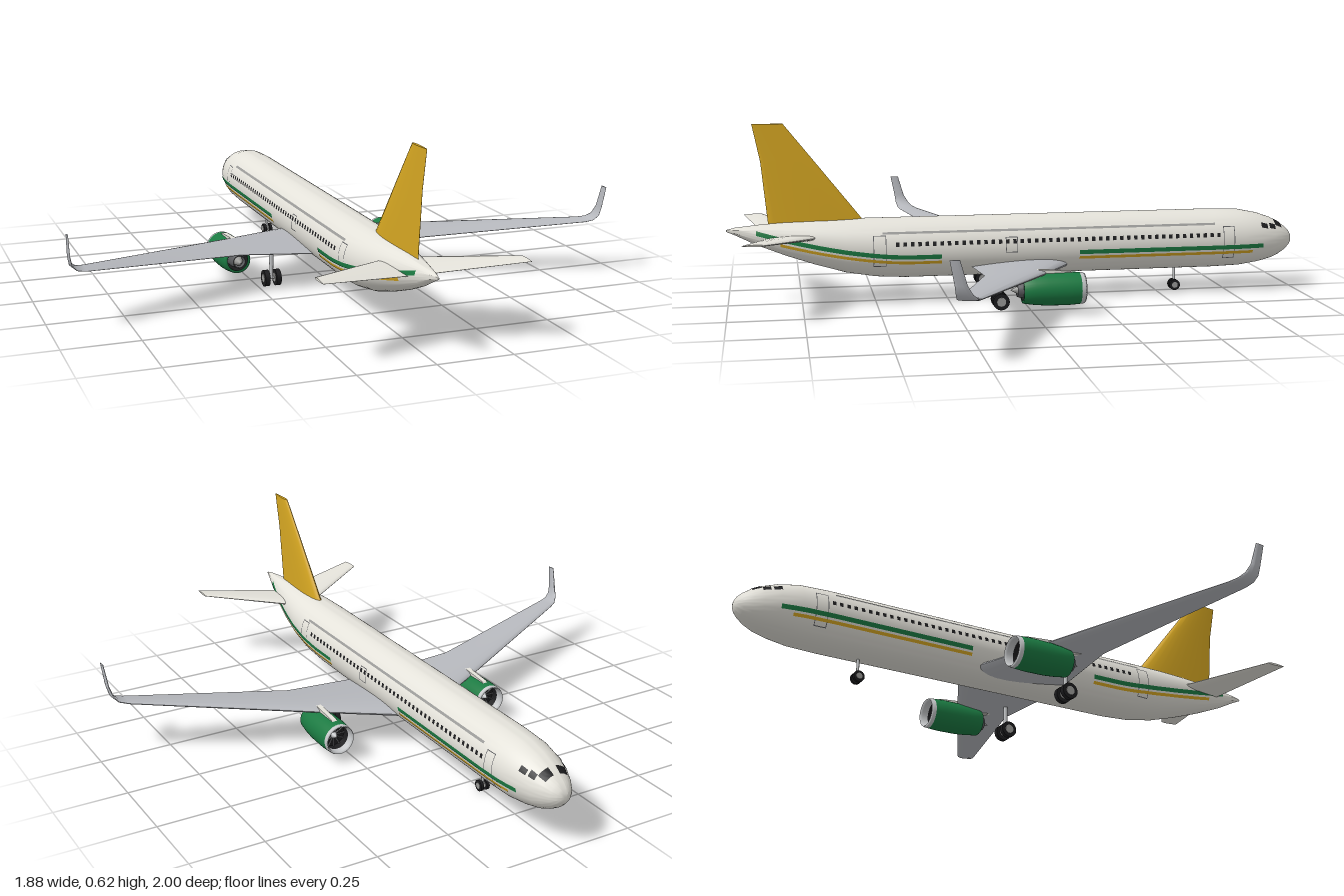
import * as THREE from 'three';
import { toCreasedNormals } from 'three/addons/utils/BufferGeometryUtils.js';

const paint = (name, color) => {
  const m = new THREE.MeshStandardMaterial({ color });
  m.name = name;
  return m;
};

// Fuselage stations: z, half width, top y, bottom y (nose at -z)
const STATIONS = [
  [-1, 0.002, 0.178, 0.174], [-0.997, 0.015, 0.191, 0.162], [-0.99, 0.028, 0.204, 0.15],
  [-0.975, 0.043, 0.219, 0.135], [-0.95, 0.059, 0.237, 0.119], [-0.92, 0.073, 0.253, 0.106],
  [-0.87, 0.088, 0.271, 0.094], [-0.8, 0.099, 0.285, 0.084], [-0.7, 0.102, 0.289, 0.081],
  [0.4, 0.102, 0.289, 0.081], [0.5, 0.1, 0.289, 0.087], [0.6, 0.091, 0.289, 0.104],
  [0.7, 0.075, 0.287, 0.133], [0.8, 0.054, 0.283, 0.167], [0.9, 0.029, 0.275, 0.207],
  [0.97, 0.01, 0.268, 0.242], [1, 0.002, 0.261, 0.255],
];

function station(z) {
  let i = 0;
  while (i < STATIONS.length - 2 && STATIONS[i + 1][0] < z) i++;
  const a = STATIONS[i], b = STATIONS[i + 1], t = (z - a[0]) / (b[0] - a[0]);
  const [rx, top, low] = [1, 2, 3].map(k => a[k] + (b[k] - a[k]) * t);
  return { rx, cy: (top + low) / 2, ry: (top - low) / 2 };
}

const skinPoint = (z, angle, lift = 0) => {
  const f = station(z);
  return [(f.rx + lift) * Math.cos(angle), f.cy + (f.ry + lift) * Math.sin(angle), z];
};

// Skin through rows of points; closed rows get end caps
function loft(rows, closed = true) {
  const n = rows[0].length, index = [];
  for (let i = 0; i < rows.length - 1; i++) {
    for (let j = 0; j < (closed ? n : n - 1); j++) {
      const a = i * n + j, b = i * n + (j + 1) % n;
      index.push(a, b, a + n, b, b + n, a + n);
    }
  }
  const last = (rows.length - 1) * n;
  if (closed) for (let j = 1; j < n - 1; j++) index.push(0, j + 1, j, last, last + j, last + j + 1);
  const g = new THREE.BufferGeometry();
  g.setAttribute('position', new THREE.Float32BufferAttribute(rows.flat(2), 3));
  g.setIndex(index);
  return toCreasedNormals(g, 0.9);
}

// Airfoil loop: leading edge, upper side, trailing edge, lower side
function airfoil([x, y, lead, trail, thick, tilt = 0], side = 1) {
  const pts = [], n = 12;
  for (let k = 0; k < 2 * n; k++) {
    const u = (1 - Math.cos(Math.PI * k / n)) / 2;
    const h = (k <= n ? 1 : -1) * thick *
      (5 * (0.2969 * Math.sqrt(u) - 0.126 * u - 0.3516 * u * u + 0.2843 * u ** 3 - 0.1036 * u ** 4) + 0.04 * u);
    pts.push([side * (x - Math.sin(tilt) * h), y + Math.cos(tilt) * h, lead + (trail - lead) * u]);
  }
  return side < 0 ? pts.reverse() : pts;
}

export function createModel() {
  const white = paint('body white', 0xe4e2da), grey = paint('wing grey', 0xb6b8bd);
  const green = paint('livery green', 0x1b7a42), gold = paint('livery gold', 0xd6a722);
  const black = paint('black', 0x1c1c1e), silver = paint('silver', 0xc4c6c8);
  const trim = paint('trim grey', 0x9a9a98), metal = paint('dark metal', 0x5a5b5e);
  const model = new THREE.Group();
  model.name = 'airliner';

  const add = (parent, name, geometry, material, x = 0, y = 0, z = 0) => {
    const m = new THREE.Mesh(geometry, material);
    m.name = name;
    m.position.set(x, y, z);
    parent.add(m);
    return m;
  };
  const lathe = pts => new THREE.LatheGeometry(pts.map(p => new THREE.Vector2(...p)), 32).rotateX(Math.PI / 2);

  // Fuselage
  add(model, 'fuselage', loft(STATIONS.map(([z]) =>
    Array.from({ length: 64 }, (_, j) => skinPoint(z, j / 32 * Math.PI)))), white);

  // Thin painted patch following the fuselage skin, bounded by two angle rules
  const patch = (name, mat, side, z0, z1, low, high, nz = 1, na = 3) => {
    const rows = [];
    for (let i = 0; i <= nz; i++) {
      const z = z0 + (z1 - z0) * i / nz, row = [];
      for (let j = 0; j <= na; j++) {
        const p = skinPoint(z, low(z) + (high(z) - low(z)) * j / na, 0.0015);
        row.push([side * p[0], p[1], p[2]]);
      }
      rows.push(side < 0 ? row.reverse() : row);
    }
    add(model, name, loft(rows, false), mat);
  };
  const atY = rule => z => {
    const f = station(z), y = typeof rule === 'number' ? rule : rule(z);
    return Math.asin(THREE.MathUtils.clamp((y - f.cy) / f.ry, -1, 1));
  };
  const deg = d => () => d * Math.PI / 180;
  const sweep = y => z => y + 0.085 * Math.max(0, (z - 0.38) / 0.52) ** 1.6;
  const outline = (side, z0, z1, y0, y1) => {
    const w = 0.0025;
    for (const z of [z0, z1 - w]) patch('doorEdge', metal, side, z, z + w, atY(y0), atY(y1), 1, 6);
    for (const y of [y0, y1 - w]) patch('doorEdge', metal, side, z0, z1, atY(y), atY(y + w), 1, 1);
  };

  for (const s of [1, -1]) {
    // Livery stripes
    patch('frontGreenStripe', green, s, -0.87, -0.2, atY(0.158), atY(0.173), 16);
    patch('frontGoldStripe', gold, s, -0.83, -0.2, atY(0.141), atY(0.151), 16);
    patch('rearGreenStripe', green, s, 0.28, 0.9, atY(sweep(0.158)), atY(sweep(0.173)), 40);
    patch('rearGoldStripe', gold, s, 0.28, 0.82, atY(sweep(0.141)), atY(sweep(0.151)), 40);
    patch('upperLine', trim, s, -0.69, 0.48, atY(0.243), atY(0.25), 20);

    // Cabin windows and doors
    for (let i = 0; i < 46; i++) {
      const z = -0.7 + i * 1.13 / 45;
      patch('cabinWindow', black, s, z - 0.006, z + 0.006, atY(0.203), atY(0.217), 1, 2);
    }
    outline(s, -0.76, -0.718, 0.125, 0.238);
    outline(s, 0.468, 0.512, 0.135, 0.24);
    outline(s, 0.018, 0.06, 0.172, 0.225);

    // Cockpit windows
    patch('windscreen', black, s, -0.953, -0.926, deg(46), deg(79), 4, 6);
    patch('cockpitWindow', black, s, -0.924, -0.9, deg(32), deg(48), 4, 4);
    patch('cockpitWindow', black, s, -0.892, -0.866, deg(30), deg(43), 4, 4);

    // Wing with upturned tip: x, y, leading z, trailing z, thickness, tilt
    add(model, 'wing', loft([
      [0.05, 0.119, -0.175, 0.176, 0.042], [0.33, 0.139, -0.03, 0.17, 0.026, 0.05],
      [0.88, 0.184, 0.26, 0.332, 0.011, 0.1], [0.908, 0.19, 0.276, 0.338, 0.01, 0.45],
      [0.925, 0.206, 0.293, 0.343, 0.009, 0.95], [0.932, 0.235, 0.31, 0.347, 0.008, 1.4],
      [0.938, 0.31, 0.332, 0.362, 0.005, 1.5],
    ].map(r => airfoil(r, s))), grey);

    // Tailplane
    add(model, 'tailplane', loft([
      [0.01, 0.229, 0.665, 0.86, 0.022], [0.33, 0.261, 0.875, 0.945, 0.007],
    ].map(r => airfoil(r, s))), white);

    // Engine
    const engine = new THREE.Group();
    engine.name = 'engine';
    engine.position.set(s * 0.305, 0.083, 0);
    model.add(engine);
    add(engine, 'cowling', lathe([[0.053, -0.152], [0.0555, -0.11], [0.0545, -0.04], [0.051, 0],
      [0.045, 0.04], [0.036, 0.04]]), green);
    add(engine, 'intakeLip', lathe([[0.043, -0.14], [0.045, -0.16], [0.049, -0.169],
      [0.052, -0.163], [0.053, -0.152]]), silver);
    add(engine, 'duct', lathe([[0.036, 0.04], [0.038, 0], [0.043, -0.14]]), black);
    add(engine, 'fanDisc', new THREE.CylinderGeometry(0.042, 0.042, 0.006, 32).rotateX(Math.PI / 2), black, 0, 0, -0.11);
    for (let i = 0; i < 12; i++) {
      const blade = new THREE.BoxGeometry(0.005, 0.03, 0.004).rotateY(0.5)
        .translate(0, 0.026, -0.118).rotateZ(i * Math.PI / 6);
      add(engine, 'fanBlade', blade, metal);
    }
    add(engine, 'spinner', new THREE.ConeGeometry(0.014, 0.03, 24).rotateX(-Math.PI / 2), silver, 0, 0, -0.128);
    add(engine, 'coreNozzle', lathe([[0.03, -0.1], [0.029, 0.02], [0.023, 0.058], [0.019, 0.058], [0.018, 0.03]]), metal);
    add(engine, 'exhaustPlug', lathe([[0.018, 0.03], [0.014, 0.055], [0.0005, 0.08]]), trim);

    // Pylon
    const profile = new THREE.Shape([[-0.135, 0.132], [-0.12, 0.142], [-0.02, 0.15], [0.03, 0.148],
      [0.1, 0.13], [0.03, 0.11], [-0.1, 0.125]].reverse().map(p => new THREE.Vector2(...p)));
    add(model, 'pylon', new THREE.ExtrudeGeometry(profile, { depth: 0.018, bevelEnabled: false })
      .translate(0, 0, -0.009).rotateY(-Math.PI / 2), white, s * 0.305);
  }

  // Fin
  add(model, 'fin', loft([
    [0, 0.265, 0.525, 0.86, 0.034, Math.PI / 2], [0, 0.285, 0.54, 0.86, 0.034, Math.PI / 2],
    [0, 0.49, 0.702, 0.88, 0.02, Math.PI / 2], [0, 0.617, 0.803, 0.906, 0.011, Math.PI / 2],
  ].map(r => airfoil(r))), gold);

  // Landing gear: a strut, an axle and a pair of wheels
  const gear = (name, x, z, r, gap, width, top) => {
    const g = new THREE.Group();
    g.name = name;
    g.position.set(x, 0, z);
    model.add(g);
    add(g, 'strut', new THREE.CylinderGeometry(r * 0.28, r * 0.22, top - r, 16), silver, 0, (top + r) / 2, 0);
    add(g, 'axle', new THREE.CylinderGeometry(r * 0.18, r * 0.18, gap * 2, 12).rotateZ(Math.PI / 2), silver, 0, r, 0);
    for (const s of [1, -1]) {
      add(g, 'tyre', new THREE.CylinderGeometry(r, r, width, 28).rotateZ(Math.PI / 2), black, s * gap, r, 0);
      add(g, 'hub', new THREE.CylinderGeometry(r * 0.55, r * 0.55, width + 0.003, 20).rotateZ(Math.PI / 2), trim, s * gap, r, 0);
    }
  };
  for (const s of [1, -1]) gear('mainGear', s * 0.203, 0.097, 0.028, 0.02, 0.017, 0.13);
  gear('noseGear', 0, -0.567, 0.019, 0.011, 0.01, 0.09);

  return model;
}
